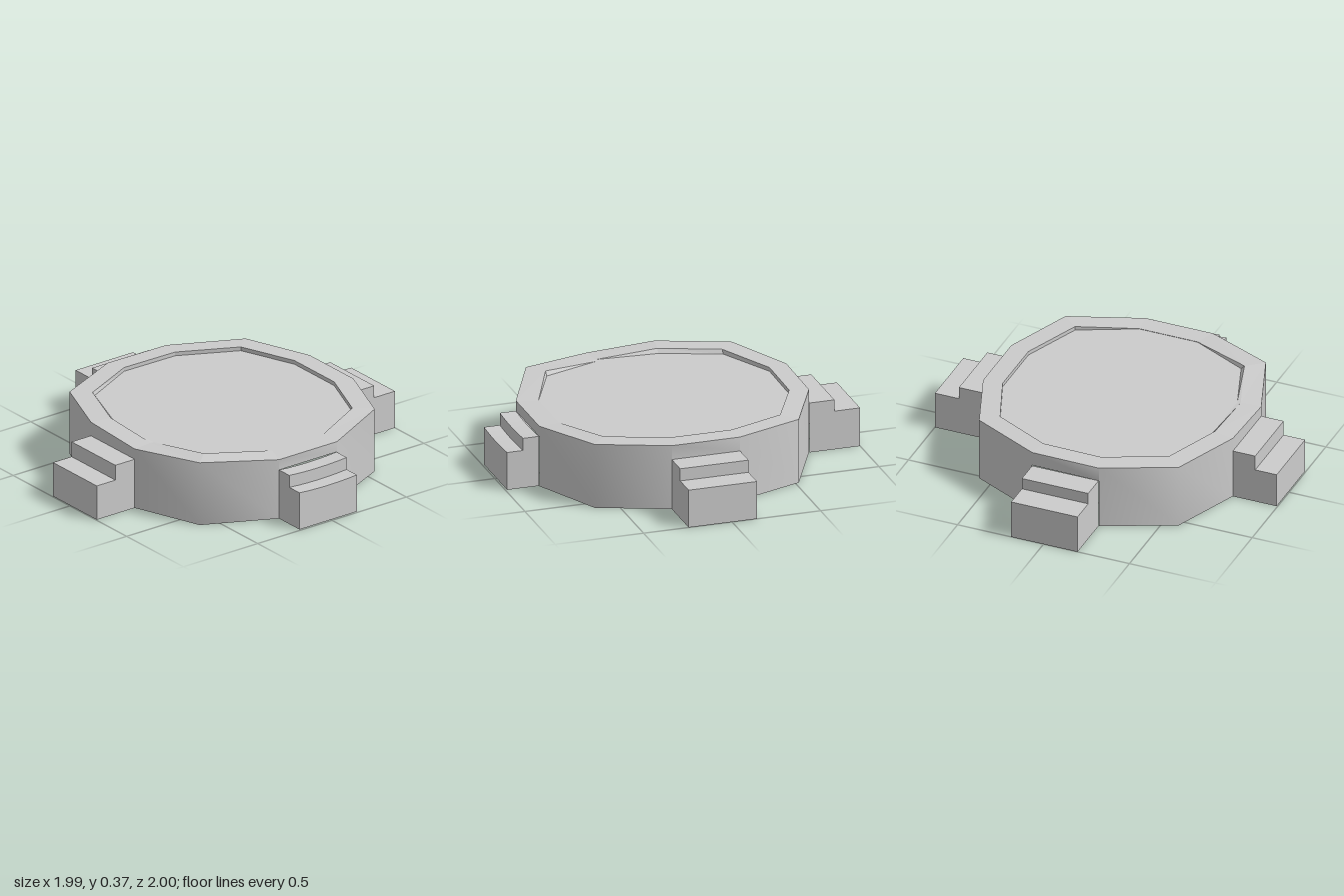
import * as THREE from 'three';
import { mergeVertices } from 'three/addons/utils/BufferGeometryUtils.js';

const material = new THREE.MeshStandardMaterial({ color: 0xcccccc, side: THREE.DoubleSide });

// Surface from four-cornered faces; smooth shares normals between neighbours
function quadMesh(name, quads, smooth = false) {
  const pos = [];
  for (const [a, b, c, d] of quads) pos.push(...a, ...b, ...c, ...a, ...c, ...d);
  let geo = new THREE.BufferGeometry();
  geo.setAttribute('position', new THREE.Float32BufferAttribute(pos, 3));
  if (smooth) geo = mergeVertices(geo, 1e-4);
  geo.computeVertexNormals();
  const mesh = new THREE.Mesh(geo, material);
  mesh.name = name;
  return mesh;
}

// Twelve-sided outlines [x, z], starting at the back and running round by the right
const outer = [
  [-0.14, -0.72], [0.245, -0.72], [0.63, -0.57], [0.81, -0.18], [0.81, 0.21], [0.62, 0.6],
  [0.23, 0.74], [-0.155, 0.74], [-0.54, 0.59], [-0.715, 0.2], [-0.71, -0.19], [-0.52, -0.58],
];
const inner = [
  [-0.13, -0.61], [0.22, -0.61], [0.55, -0.48], [0.695, -0.17], [0.695, 0.17], [0.54, 0.51],
  [0.22, 0.625], [-0.13, 0.625], [-0.455, 0.5], [-0.61, 0.17], [-0.605, -0.17], [-0.445, -0.49],
];
const floorZ = { 5: 0.49, 6: 0.605, 7: 0.605, 8: 0.485 };

// Slightly uneven rim heights at each corner
const rimY = outer.map((_, i) => (i === 3 || i === 4 || i === 6 ? 0.345 : 0.365));
const STEP_TOP = 0.285, FLOOR_Y = 0.345;

// Hollow flight of two steps, extending along local +z from the wall
function makeSteps({ name, x, z, angle, a, b, low, sag = 0 }) {
  const w = 0.193, n = sag ? 6 : 1, quads = [];
  const profile = [[0, STEP_TOP], [a, STEP_TOP], [a, low], [b, low], [b, 0]];
  const point = (t, [d, y]) => [t * w, y > 0 ? y - sag * (1 - t * t) : y, d];
  for (let k = 0; k < n; k++) {
    const t0 = -1 + (2 * k) / n, t1 = -1 + (2 * (k + 1)) / n;
    for (let j = 0; j < profile.length - 1; j++) {
      const p = profile[j], q = profile[j + 1];
      quads.push([point(t0, p), point(t0, q), point(t1, q), point(t1, p)]);
    }
  }
  // Side panels
  for (const s of [-1, 1]) {
    for (const [d0, d1, h] of [[0, a, STEP_TOP], [a, b, low]]) {
      const face = [[s * w, 0, d0], [s * w, 0, d1], [s * w, h, d1], [s * w, h, d0]];
      quads.push(s < 0 ? face : face.reverse());
    }
  }
  const mesh = quadMesh(name, quads);
  mesh.position.set(x, 0, z);
  mesh.rotation.y = angle;
  return mesh;
}

export function createModel() {
  const group = new THREE.Group();
  group.name = 'steppedPlatform';
  const wall = [], rim = [], lip = [], floor = [];
  const center = [0.045, FLOOR_Y, 0];
  const at = ([x, z], y) => [x, y, z];
  const floorAt = (i) => [inner[i][0], FLOOR_Y, floorZ[i] ?? inner[i][1]];

  for (let i = 0; i < 12; i++) {
    const j = (i + 1) % 12;
    const topA = at(outer[i], rimY[i]), topB = at(outer[j], rimY[j]);
    const inA = at(inner[i], rimY[i] + 0.002), inB = at(inner[j], rimY[j] + 0.002);
    // Walls are open behind the steps
    const base = i % 3 === 0 ? STEP_TOP : 0;
    wall.push([at(outer[i], base), topA, topB, at(outer[j], base)]);
    rim.push([topA, inA, inB, topB]);
    lip.push([inA, floorAt(i), floorAt(j), inB]);
    floor.push([floorAt(i), center, center, floorAt(j)]);
  }
  // Fan triangles become the second half of each floor quad
  group.add(
    quadMesh('outerWall', wall, true),
    quadMesh('rim', rim),
    quadMesh('innerLip', lip),
    quadMesh('floor', floor),
  );

  // Steps on the four sides
  const flights = [
    { name: 'frontSteps', x: 0.0375, z: 0.74, angle: 0, a: 0.13, b: 0.255, low: 0.198 },
    { name: 'leftSteps', x: 0.81, z: 0.018, angle: Math.PI / 2, a: 0.09, b: 0.18, low: 0.215, sag: 0.008 },
    { name: 'backSteps', x: 0.0525, z: -0.72, angle: Math.PI, a: 0.14, b: 0.28, low: 0.215 },
    { name: 'rightSteps', x: -0.715, z: 0.005, angle: -Math.PI / 2, a: 0.14, b: 0.285, low: 0.22 },
  ];
  for (const flight of flights) group.add(makeSteps(flight));
  return group;
}
